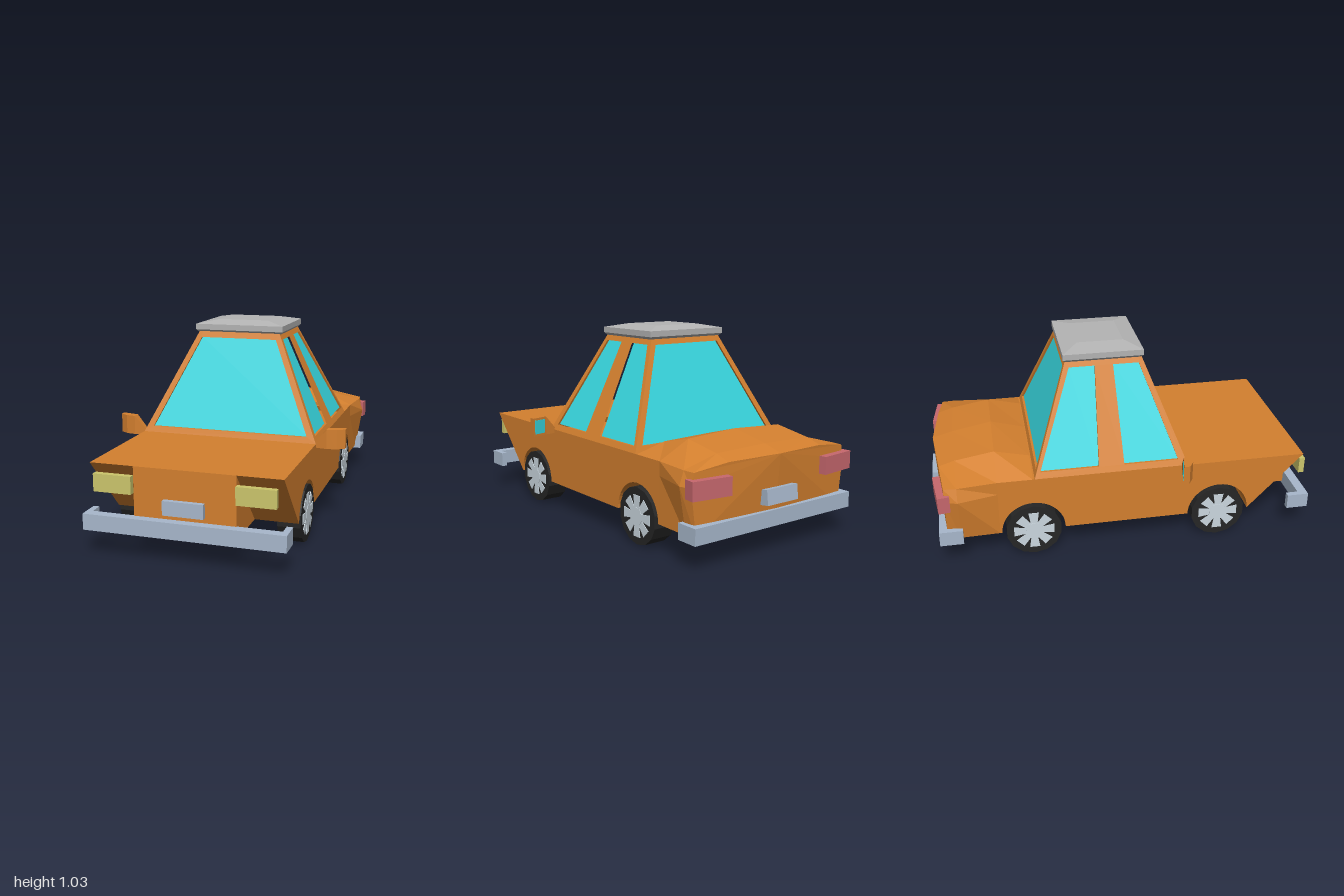
import * as THREE from 'three';

const mat = (color) => new THREE.MeshStandardMaterial({ color, flatShading: true });
const paint = mat(0xd4802f), glass = mat(0x38d6de), chrome = mat(0xa8b8cc), tyreMat = mat(0x262626),
  rimMat = mat(0xccd8e0), lamp = mat(0xccc66c), red = mat(0xc8686e), grey = mat(0xb4b4b4);

function add(parent, name, geometry, material, x = 0, y = 0, z = 0) {
  const mesh = new THREE.Mesh(geometry, material);
  mesh.name = name;
  mesh.position.set(x, y, z);
  parent.add(mesh);
  return mesh;
}

// Skin a row of equal-length loops and close both ends
function loft(loops) {
  const pos = [], n = loops[0].length;
  const tri = (a, b, c) => pos.push(...a, ...b, ...c);
  for (let s = 0; s + 1 < loops.length; s++) {
    for (let i = 0; i < n; i++) {
      const j = (i + 1) % n, a = loops[s], b = loops[s + 1];
      tri(a[i], a[j], b[j]);
      tri(a[i], b[j], b[i]);
    }
  }
  const first = loops[0], last = loops[loops.length - 1];
  for (let i = 1; i + 1 < n; i++) {
    tri(first[0], first[i + 1], first[i]);
    tri(last[0], last[i], last[i + 1]);
  }
  const g = new THREE.BufferGeometry();
  g.setAttribute('position', new THREE.Float32BufferAttribute(pos, 3));
  g.computeVertexNormals();
  return g;
}

const polygon = (pts) => new THREE.Shape(pts.map(([x, y]) => new THREE.Vector2(x, y)));
const extrude = (shape, depth) => new THREE.ExtrudeGeometry(shape, { depth, bevelEnabled: false, curveSegments: 12 });
const mirrored = (pts) => [...pts, ...pts.map(([x, ...r]) => [-x, ...r]).reverse()];

const WHEEL_Z = [0.5, -0.485], BELT = 0.45, SILL = 0.145;

// Side profile of the lower body, drawn with u = -z
function bodyProfile(arches) {
  const s = new THREE.Shape();
  s.moveTo(-0.955, SILL);
  if (arches) for (const z of WHEEL_Z) s.absarc(-z, SILL, 0.165, Math.PI, 0, true);
  s.lineTo(0.66, SILL);
  s.lineTo(0.66, BELT);
  s.lineTo(-0.955, BELT);
  return s;
}

function buildBody(car) {
  for (const [name, arches, x, width] of [['bodyCore', false, -0.25, 0.5],
    ['bodySideLeft', true, 0.25, 0.22], ['bodySideRight', true, -0.47, 0.22]]) {
    add(car, name, extrude(bodyProfile(arches), width), paint, x).rotation.y = Math.PI / 2;
  }
  // Flared tail: loops run from top centre down the right side and back up the left
  const tailLoop = (z, zMid, bottom, bulge, top, crown) => {
    const midY = BELT + (crown - BELT) * 0.85, midZ = z + (zMid - z) * 0.4;
    const right = [[-0.3, midY, midZ], [-top, BELT, z], [-bulge, 0.38, z], [-bottom, SILL, z]];
    const left = right.map(([x, y, zz]) => [-x, y, zz]).reverse();
    return [[0, crown, zMid], ...right, [0, SILL, zMid + 0.03], ...left];
  };
  add(car, 'tail', loft([
    tailLoop(-0.925, -0.975, 0.47, 0.5, 0.485, 0.48),
    tailLoop(-0.86, -0.87, 0.475, 0.515, 0.49, 0.51),
    tailLoop(-0.66, -0.66, 0.47, 0.47, 0.47, 0.55),
  ]), paint);
  // Crowned lid between the rear window and the tail
  const lidLoop = (z, crown) => [[0.47, 0.44], [0.47, BELT], [0.3, BELT + (crown - BELT) * 0.85], [0, crown],
    [-0.3, BELT + (crown - BELT) * 0.85], [-0.47, BELT], [-0.47, 0.44]].map(([x, y]) => [x, y, z]);
  add(car, 'bootLid', loft([lidLoop(-0.66, 0.55), lidLoop(-0.48, 0.5)]), paint);
}

// One leaning cabin wall: an outline pierced by windows, with glass set inside
function cabinWall(car, name, angle, x, z, lean, outline, windows) {
  const wall = new THREE.Group();
  wall.name = name;
  const tilt = (g) => {
    const p = g.attributes.position;
    for (let i = 0; i < p.count; i++) p.setZ(i, p.getZ(i) - (p.getY(i) - BELT) * lean);
    g.computeVertexNormals();
    return g;
  };
  const shape = polygon(outline);
  shape.holes = windows.map((w) => new THREE.Path(polygon(w).getPoints()));
  add(wall, 'windowFrame', tilt(extrude(shape, 0.02)), paint, 0, 0, -0.02);
  for (const w of windows) add(wall, 'windowGlass', tilt(new THREE.ShapeGeometry(polygon(w))), glass, 0, 0, -0.012);
  wall.rotation.y = angle;
  wall.position.set(x, 0, z);
  car.add(wall);
}

function buildCabin(car) {
  const h = 0.53, top = 0.98;
  const endOutline = mirrored([[0.47, BELT], [0.22, top]]);
  const endWindow = mirrored([[0.42, 0.48], [0.205, 0.945]]);
  cabinWall(car, 'windscreenWall', 0, 0, 0.325, 0.205 / h, endOutline, [endWindow]);
  cabinWall(car, 'rearWindowWall', Math.PI, 0, -0.47, 0.2 / h, endOutline, [endWindow]);
  // Side outlines are written as [z, y]
  const side = [[0.325, BELT], [0.12, top], [-0.27, top], [-0.47, BELT]];
  const sideWindows = [
    [[0.275, 0.48], [0.105, 0.945], [-0.028, 0.945], [-0.008, 0.48]],
    [[-0.14, 0.48], [-0.122, 0.945], [-0.255, 0.945], [-0.44, 0.48]],
  ];
  for (const s of [1, -1]) {
    const flip = (pts) => pts.map(([z, y]) => [-s * z, y]);
    cabinWall(car, s > 0 ? 'leftCabinWall' : 'rightCabinWall', s * Math.PI / 2, s * 0.47, 0, 0.25 / h,
      flip(side), sideWindows.map(flip));
  }
  // Roof slab with a bevelled top
  const ring = (y, x, z) => [[x, y, z], [x, y, -z], [-x, y, -z], [-x, y, z]];
  add(car, 'roof', loft([ring(0.972, 0.228, 0.195), ring(0.985, 0.24, 0.208),
    ring(1.015, 0.24, 0.208), ring(1.035, 0.135, 0.12)]), grey, 0, 0, -0.077);
}

function buildWheel(car, side, z, name) {
  const wheel = new THREE.Group();
  wheel.name = name;
  const tyre = new THREE.CylinderGeometry(0.145, 0.145, 0.117, 14);
  add(wheel, 'tyre', tyre.rotateX(Math.PI / 2), tyreMat);
  // Rim with eight flared spokes
  const pts = [], n = 8;
  for (let i = 0; i < n; i++) {
    for (const [r, d] of [[0.052, -0.36], [0.108, -0.25], [0.108, 0.25], [0.052, 0.36]]) {
      const a = (i * 2 * Math.PI) / n + d;
      pts.push([r * Math.cos(a), r * Math.sin(a)]);
    }
  }
  add(wheel, 'spokes', extrude(polygon(pts), 0.004), rimMat, 0, 0, 0.058);
  add(wheel, 'hub', new THREE.CylinderGeometry(0.045, 0.045, 0.006, 10).rotateX(Math.PI / 2), rimMat, 0, 0, 0.061);
  wheel.rotation.y = side * Math.PI / 2;
  wheel.position.set(side * 0.414, 0.145, z);
  car.add(wheel);
}

function buildTrim(car) {
  // U-shaped bumpers wrapping the corners, drawn in plan
  const bumper = (name, outer, inner, wrap, bar, z, turn) => {
    const u = polygon(mirrored([[outer, 0], [outer, -wrap], [inner, -wrap], [inner, -bar]]).map(([x, d]) => [x, -d]));
    const mesh = add(car, name, extrude(u, 0.08).rotateX(Math.PI / 2), chrome, 0, 0.21, z);
    mesh.rotation.y = turn;
  };
  bumper('frontBumper', 0.495, 0.465, 0.115, 0.05, 1.0, Math.PI);
  bumper('rearBumper', 0.51, 0.465, 0.12, 0.06, -0.967, 0);

  const box = (w, h, d) => new THREE.BoxGeometry(w, h, d);
  add(car, 'frontPlate', box(0.2, 0.07, 0.03), chrome, 0, 0.27, 0.965);
  add(car, 'rearPlate', box(0.2, 0.075, 0.05), chrome, 0, 0.283, -0.97).rotation.x = 0.12;

  const mirrorLoop = (x, y0, y1, z0, z1) => [[x, y0, z0], [x, y1, z0], [x, y1, z1], [x, y0, z1]];
  for (const s of [1, -1]) {
    const label = s > 0 ? 'left' : 'right';
    add(car, label + 'Headlight', box(0.19, 0.087, 0.03), lamp, s * 0.348, 0.362, 0.965);
    add(car, label + 'TailLight', box(0.212, 0.09, 0.06), red, s * 0.41, 0.375, -0.94).rotation.y = -s * 0.12;
    // Door mirror
    const mirror = new THREE.Group();
    mirror.name = label + 'Mirror';
    add(mirror, 'housing', loft([mirrorLoop(0.46, 0.43, 0.455, 0.295, 0.315), mirrorLoop(0.525, 0.43, 0.53, 0.285, 0.328),
      mirrorLoop(0.575, 0.43, 0.53, 0.273, 0.32), mirrorLoop(0.615, 0.43, 0.53, 0.263, 0.295)]), paint);
    add(mirror, 'mirrorGlass', box(0.07, 0.075, 0.004), glass, 0.57, 0.48, 0.273).rotation.y = 0.24;
    mirror.scale.x = s;
    car.add(mirror);
    WHEEL_Z.forEach((z, i) => buildWheel(car, s, z, label + (i ? 'RearWheel' : 'FrontWheel')));
  }
}

export function createModel() {
  const car = new THREE.Group();
  car.name = 'car';
  buildBody(car);
  buildCabin(car);
  buildTrim(car);
  return car;
}
